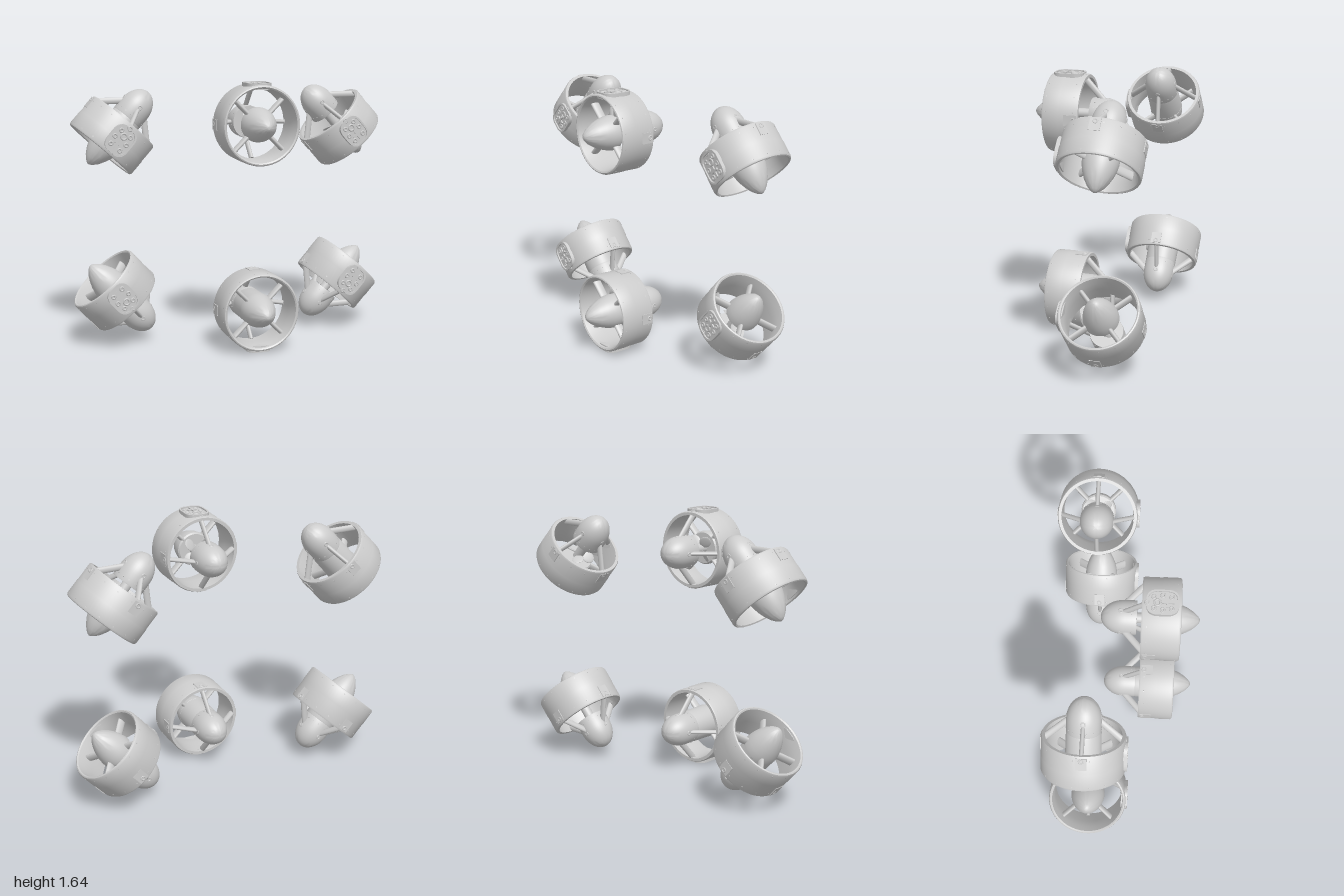
import * as THREE from 'three';
import { toCreasedNormals } from 'three/addons/utils/BufferGeometryUtils.js';

const metal = new THREE.MeshStandardMaterial({ color: 0xcccccc });
metal.name = 'light grey metal';

function add(parent, name, geometry) {
  const mesh = new THREE.Mesh(geometry, metal);
  mesh.name = name;
  parent.add(mesh);
  return mesh;
}

// Revolve a [radius, z] profile about the z axis.
function turned(profile, sides = 64) {
  const g = new THREE.LatheGeometry(profile.map(([r, z]) => new THREE.Vector2(r, z)), sides);
  g.rotateX(Math.PI / 2);
  return toCreasedNormals(g, 0.6);
}

// Oval-section rod, narrow across x.
function rod(parent, name, a, b, radius) {
  const dir = b.clone().sub(a);
  const mesh = add(parent, name, new THREE.CylinderGeometry(radius, radius, dir.length(), 16));
  mesh.scale.x = 0.65;
  mesh.position.copy(a).add(b).multiplyScalar(0.5);
  mesh.quaternion.setFromUnitVectors(new THREE.Vector3(0, 1, 0), dir.normalize());
}

// Raised ring lying flat on a +y facing surface.
function boss(parent, name, x, y, z, r, tube) {
  const mesh = add(parent, name, new THREE.TorusGeometry(r, tube, 8, 20));
  mesh.rotation.x = Math.PI / 2;
  mesh.position.set(x, y, z);
}

function shieldShape(w, h) {
  const s = new THREE.Shape();
  s.moveTo(-w * 0.4, -h);
  s.lineTo(w * 0.4, -h);
  s.quadraticCurveTo(w, -h * 0.9, w, -h * 0.3);
  s.lineTo(w, h * 0.3);
  s.quadraticCurveTo(w, h * 0.9, w * 0.4, h);
  s.lineTo(-w * 0.4, h);
  s.quadraticCurveTo(-w, h * 0.9, -w, h * 0.3);
  s.lineTo(-w, -h * 0.3);
  s.quadraticCurveTo(-w, -h * 0.9, -w * 0.4, -h);
  return s;
}

// Mounting plate with rim, bolt bosses and cross ribs, facing local +y.
function addPlate(parent) {
  const plate = new THREE.Group();
  plate.name = 'mountingPlate';
  const slab = (name, shape, depth, y) => {
    const g = new THREE.ExtrudeGeometry(shape, { depth, bevelEnabled: false, curveSegments: 10 });
    g.rotateX(-Math.PI / 2);
    add(plate, name, g).position.y = y;
  };
  slab('plateBase', shieldShape(0.076, 0.092), 0.03, 0.211);
  const rim = shieldShape(0.076, 0.092);
  rim.holes.push(shieldShape(0.066, 0.082));
  slab('plateRim', rim, 0.009, 0.241);
  for (const side of [-1, 1])
    for (const z of [-0.05, 0, 0.05])
      boss(plate, 'plateBoss', side * (z ? 0.035 : 0.044), 0.242, z, 0.011, 0.005);
  boss(plate, 'plateCentreBoss', 0, 0.242, -0.03, 0.018, 0.006);
  add(plate, 'plateRib', new THREE.BoxGeometry(0.012, 0.01, 0.07)).position.set(0, 0.245, 0.03);
  add(plate, 'plateCrossRib', new THREE.BoxGeometry(0.055, 0.01, 0.012)).position.set(0, 0.245, 0.025);
  parent.add(plate);
}

// One thruster: nose toward +z, mounting plate toward +y, duct centred on the origin.
function makeThruster(hasShell) {
  const t = new THREE.Group();
  t.name = 'thruster';

  add(t, 'duct', turned([
    [0.216, -0.116], [0.234, -0.116], [0.239, -0.106], [0.239, -0.005], [0.241, 0.005],
    [0.241, 0.096], [0.236, 0.106], [0.229, 0.109], [0.221, 0.103],
    [0.212, 0.06], [0.208, 0], [0.216, -0.116],
  ], 72));

  add(t, 'noseCone', turned([
    [0, 0.003], [0.096, 0.003], [0.104, 0.012], [0.105, 0.03], [0.1, 0.065], [0.089, 0.105],
    [0.072, 0.145], [0.05, 0.182], [0.027, 0.207], [0.01, 0.219], [0, 0.222],
  ], 48));

  const pod = [];
  for (let i = 0; i <= 12; i++) {
    const a = (i / 12) * Math.PI / 2;
    pod.push([0.1 * Math.sin(a), -0.213 - 0.138 * Math.cos(a)]);
  }
  add(t, 'motorPod', turned([...pod, [0.1, -0.15], [0.098, -0.143], [0, -0.143]], 48));

  if (hasShell) {
    add(t, 'hubShell', turned([[0.098, -0.145], [0.1, -0.138], [0.103, 0.012]], 48));
  } else {
    // Open hub: shaft and impeller between pod and nose
    const shaft = add(t, 'shaft', new THREE.CylinderGeometry(0.03, 0.03, 0.16, 20));
    shaft.rotation.x = Math.PI / 2;
    shaft.position.z = -0.07;
    for (let i = 0; i < 4; i++) {
      const arm = new THREE.Group();
      arm.name = 'impellerBladeArm';
      arm.rotation.z = (i / 4) * Math.PI * 2 + Math.PI / 4;
      const blade = add(arm, 'impellerBlade', new THREE.SphereGeometry(1, 20, 12));
      blade.scale.set(0.036, 0.04, 0.006);
      blade.position.set(0, 0.062, -0.03);
      blade.rotation.y = 0.6;
      t.add(arm);
    }
  }

  for (let i = 0; i < 4; i++) {
    // Strut, its duct bracket and its bolts
    const arm = new THREE.Group();
    arm.name = 'strutArm';
    arm.rotation.z = i * Math.PI / 2;
    rod(arm, 'strut', new THREE.Vector3(0, 0.075, -0.22), new THREE.Vector3(0, 0.219, -0.09), 0.02);
    boss(arm, 'podBolt', 0, 0.095, -0.235, 0.011, 0.005);
    if (i) {
      add(arm, 'bracket', new THREE.BoxGeometry(0.065, 0.012, 0.075)).position.set(0, 0.235, -0.068);
    }
    boss(arm, 'bracketBolt', 0, 0.239, -0.088, 0.012, 0.005);
    t.add(arm);

    // Flat stator vanes, eight in all
    for (const turn of [0, Math.PI / 4]) {
      const vaneArm = new THREE.Group();
      vaneArm.name = 'vaneArm';
      vaneArm.rotation.z = i * Math.PI / 2 + turn;
      if (turn) {
        const vane = add(vaneArm, 'statorVane', new THREE.CylinderGeometry(1, 1, 0.128, 16));
        vane.scale.set(0.014, 1, 0.028);
        vane.position.set(0, 0.155, 0.03);
        t.add(vaneArm);
      }
    }
  }

  // Small screws round the pod and duct
  for (let i = 0; i < 16; i++) {
    const a = ((i + 0.5) / 16) * Math.PI * 2;
    for (const [r, z] of [[0.1, -0.17], [0.24, 0.085], [0.238, -0.085]]) {
      const screw = add(t, 'screw', new THREE.CylinderGeometry(0.004, 0.004, 0.004, 8));
      screw.position.set(-Math.sin(a) * r, Math.cos(a) * r, z);
      screw.rotation.z = a;
    }
  }

  addPlate(t);
  return t;
}

export function createModel() {
  const model = new THREE.Group();
  model.name = 'thrusterSet';
  const ax = 0.67, ay = 0.7424;
  // [name, centre, nose direction, plate direction, closed hub shell]
  const layout = [
    ['upperCentreThruster', [0.04, 1.386, 0.2125], [0, 0, 1], [0, 1, 0], false],
    ['lowerCentreThruster', [0.04, 0.25, 0.2125], [0, 0, 1], [0, -1, 0], true],
  ];
  for (const sx of [-1, 1])
    for (const sy of [-1, 1])
      layout.push([
        (sy > 0 ? 'upper' : 'lower') + (sx > 0 ? 'Left' : 'Right') + 'Thruster',
        [sx * 0.752, 0.821 + sy * 0.48, -0.194], [sx * ax, -sy * ay, 0], [0, 0, 1], sx < 0,
      ]);
  for (const [name, centre, nose, plate, shell] of layout) {
    const t = makeThruster(shell);
    t.name = name;
    const z = new THREE.Vector3(...nose).normalize();
    const y = new THREE.Vector3(...plate);
    t.quaternion.setFromRotationMatrix(new THREE.Matrix4().makeBasis(y.clone().cross(z), y, z));
    t.position.set(...centre);
    model.add(t);
  }
  return model;
}
